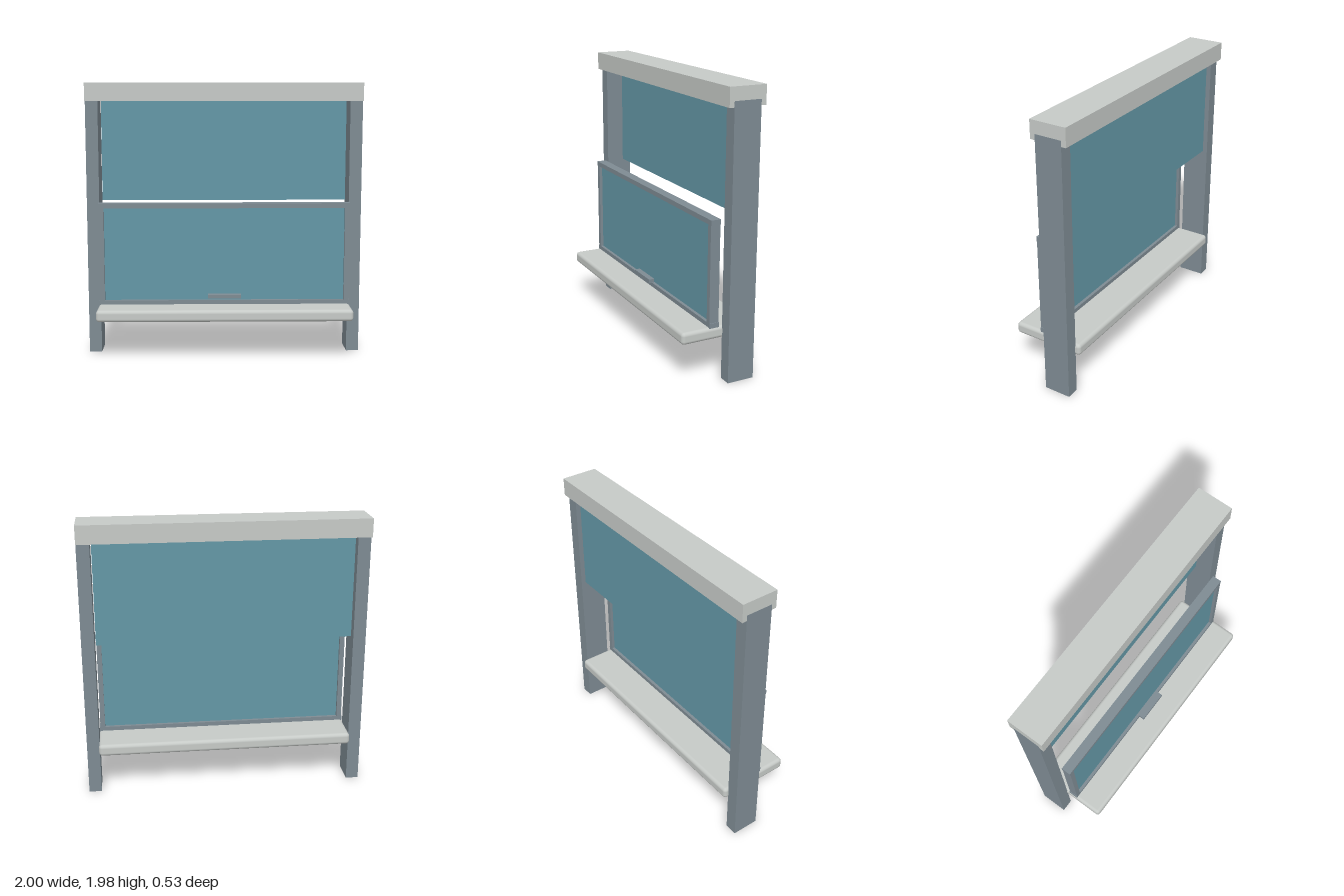
import * as THREE from 'three';
import { RoundedBoxGeometry } from 'three/addons/geometries/RoundedBoxGeometry.js';

export function createModel() {
  const model = new THREE.Group();
  model.name = 'sashWindow';

  const material = (name, color) => {
    const m = new THREE.MeshStandardMaterial({ color });
    m.name = name;
    return m;
  };
  const stone = material('pale stone', 0xc6cac7);
  const frame = material('grey frame', 0x7e8b93);
  const glass = material('blue glass', 0x6497a6);

  // Box given by its limits on each axis
  function box(name, mat, [x0, x1], [y0, y1], [z0, z1], radius = 0) {
    const w = x1 - x0, h = y1 - y0, d = z1 - z0;
    const geometry = radius
      ? new RoundedBoxGeometry(w, h, d, 4, radius)
      : new THREE.BoxGeometry(w, h, d);
    const mesh = new THREE.Mesh(geometry, mat);
    mesh.name = name;
    mesh.position.set((x0 + x1) / 2, (y0 + y1) / 2, (z0 + z1) / 2);
    return mesh;
  }

  // Header beam, sill and fixed upper pane
  model.add(
    box('header', stone, [-0.9995, 0.9995], [1.85, 1.98], [-0.265, 0]),
    box('sill', stone, [-0.915, 0.915], [0.295, 0.38], [-0.265, 0.265], 0.025),
    box('upperPane', glass, [-0.9, 0.9], [1.12, 1.87], [-0.2, -0.16]),
  );

  // Side posts, flush with the ends of the header
  model.add(
    box('leftPost', frame, [0.91, 1], [0, 1.89], [-0.23, -0.035]),
    box('rightPost', frame, [-1, -0.91], [0, 1.89], [-0.23, -0.035]),
  );

  // Sliding lower sash with a recessed pane and a pull handle
  const sash = new THREE.Group();
  sash.name = 'lowerSash';
  const depth = [-0.01, 0.06];
  sash.add(
    box('topRail', frame, [-0.91, 0.91], [1.085, 1.12], depth),
    box('bottomRail', frame, [-0.91, 0.91], [0.375, 0.41], depth),
    box('leftStile', frame, [0.87, 0.905], [0.41, 1.085], depth),
    box('rightStile', frame, [-0.905, -0.87], [0.41, 1.085], depth),
    box('lowerPane', glass, [-0.87, 0.87], [0.41, 1.085], [0.012, 0.038]),
    box('handle', frame, [-0.12, 0.12], [0.432, 0.46], [0.068, 0.11]),
  );
  model.add(sash);

  return model;
}
